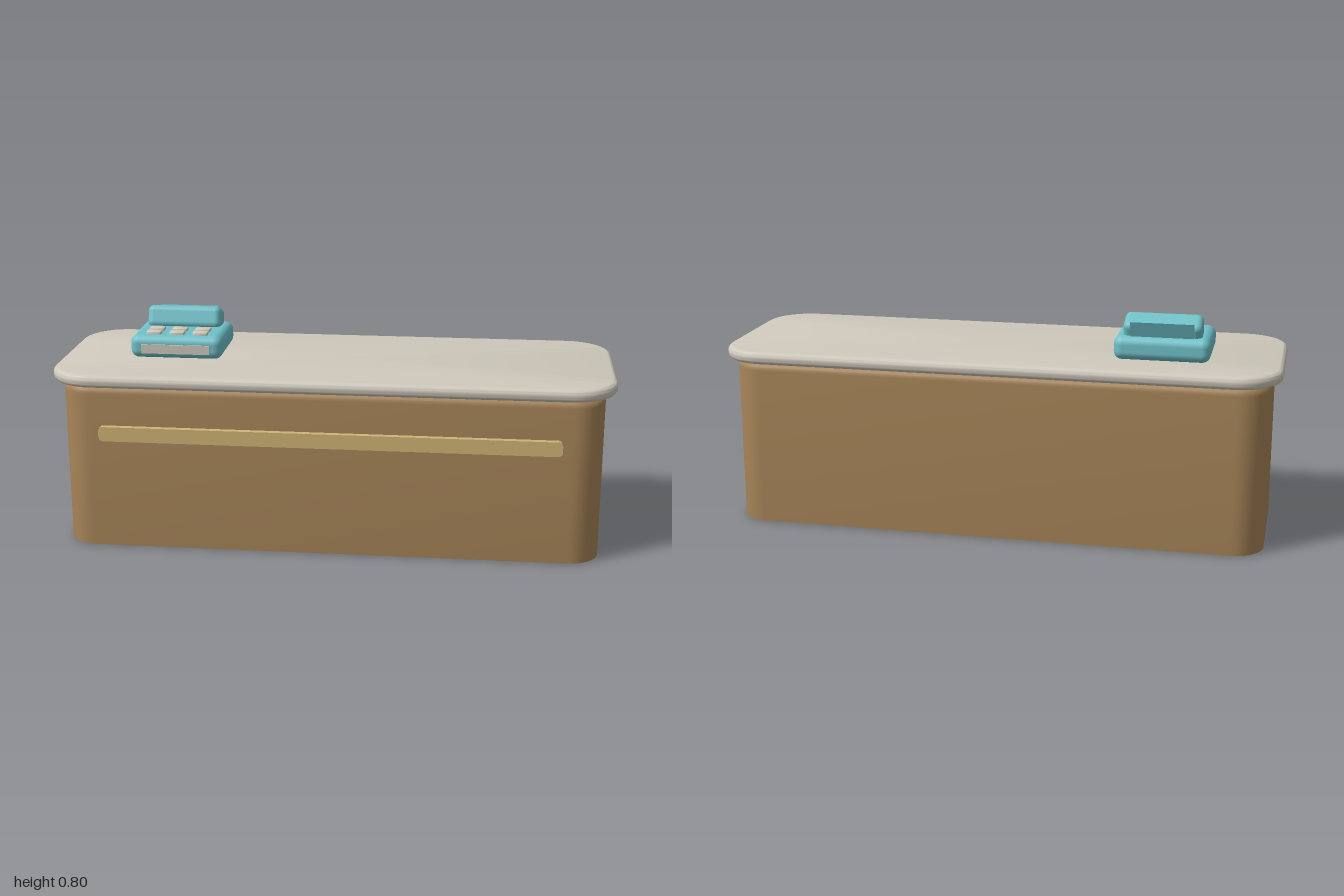
import * as THREE from 'three';
import { toCreasedNormals } from 'three/addons/utils/BufferGeometryUtils.js';
import { RoundedBoxGeometry } from 'three/addons/geometries/RoundedBoxGeometry.js';

const mat = (name, color) => {
  const m = new THREE.MeshStandardMaterial({ color });
  m.name = name;
  return m;
};

// Rounded-rectangle slab standing on y = 0, with optional rounded top and bottom edges
function slab(w, h, d, corner, topR = 0, bottomR = 0) {
  const rings = [];
  const steps = 6;
  if (bottomR) for (let k = 0; k <= steps; k++) {
    const a = (k / steps) * Math.PI / 2;
    rings.push([bottomR * (1 - Math.cos(a)), bottomR * (1 - Math.sin(a))]);
  } else rings.push([0, 0]);
  if (topR) for (let k = 0; k <= steps; k++) {
    const a = (k / steps) * Math.PI / 2;
    rings.push([h - topR * (1 - Math.sin(a)), topR * (1 - Math.cos(a))]);
  } else rings.push([h, 0]);

  const pos = [], index = [], seg = 10, n = 4 * (seg + 1);
  for (const [y, inset] of rings) {
    for (let q = 0; q < 4; q++) {
      const sx = q === 0 || q === 3 ? 1 : -1, sz = q < 2 ? 1 : -1;
      for (let s = 0; s <= seg; s++) {
        const a = (q + s / seg) * Math.PI / 2, r = corner - inset;
        pos.push(sx * (w / 2 - corner) + r * Math.cos(a), y, sz * (d / 2 - corner) + r * Math.sin(a));
      }
    }
  }
  const low = rings.length * n, high = low + 1, last = (rings.length - 1) * n;
  pos.push(0, 0, 0, 0, h, 0);
  for (let i = 0; i < n; i++) {
    const j = (i + 1) % n;
    for (let k = 0; k < rings.length - 1; k++) {
      const a = k * n + i, b = a + n, c = k * n + j, e = c + n;
      index.push(a, b, c, c, b, e);
    }
    index.push(low, i, j, last + i, high, last + j);
  }
  const geo = new THREE.BufferGeometry();
  geo.setAttribute('position', new THREE.Float32BufferAttribute(pos, 3));
  geo.setIndex(index);
  return toCreasedNormals(geo, 0.6);
}

export function createModel() {
  const wood = mat('brown wood', 0xa58357);
  const trim = mat('tan trim', 0xd0b476);
  const stone = mat('pale stone', 0xcfc9bc);
  const teal = mat('teal plastic', 0x70c1c9);

  const model = new THREE.Group();
  model.name = 'serviceCounter';
  const add = (parent, name, geo, material, x, y, z) => {
    const m = new THREE.Mesh(geo, material);
    m.name = name;
    m.position.set(x, y, z);
    parent.add(m);
    return m;
  };

  // Counter
  add(model, 'counterBody', slab(1.92, 0.6, 0.614, 0.11, 0.03), wood, 0, 0.002, 0);
  add(model, 'basePlate', slab(1.86, 0.006, 0.554, 0.08), trim, 0, 0, 0);
  add(model, 'countertop', slab(2, 0.046, 0.69, 0.16, 0.02, 0.02), stone, 0, 0.602, 0);
  add(model, 'frontRail', slab(1.63, 0.03, 0.053, 0.016), trim, 0, 0.431, 0.298).rotation.x = Math.PI / 2;

  // Cash register
  const register = new THREE.Group();
  register.name = 'cashRegister';
  register.position.set(-0.579, 0.647, -0.046);
  model.add(register);
  add(register, 'registerBase', new RoundedBoxGeometry(0.337, 0.085, 0.277, 5, 0.03), teal, 0, 0.0425, 0);
  add(register, 'drawerFront', new THREE.BoxGeometry(0.25, 0.033, 0.014), stone, 0, 0.038, 0.137);

  // Keys in two rows of three
  for (const z of [0.04, 0.094])
    for (const x of [-0.085, 0, 0.085])
      add(register, 'key', slab(0.055, 0.016, 0.035, 0.006, 0.004), stone, x, 0.08, z);

  // Tilted display head with a thin panel on its back
  const head = new THREE.Group();
  head.name = 'displayHead';
  head.position.set(0, 0.106, -0.069);
  head.rotation.x = -0.35;
  register.add(head);
  add(head, 'displayBox', new RoundedBoxGeometry(0.274, 0.083, 0.097, 5, 0.022), teal, 0, 0, 0);
  add(head, 'backPanel', new THREE.BoxGeometry(0.22, 0.06, 0.006), teal, 0, 0.023, -0.05);

  return model;
}
